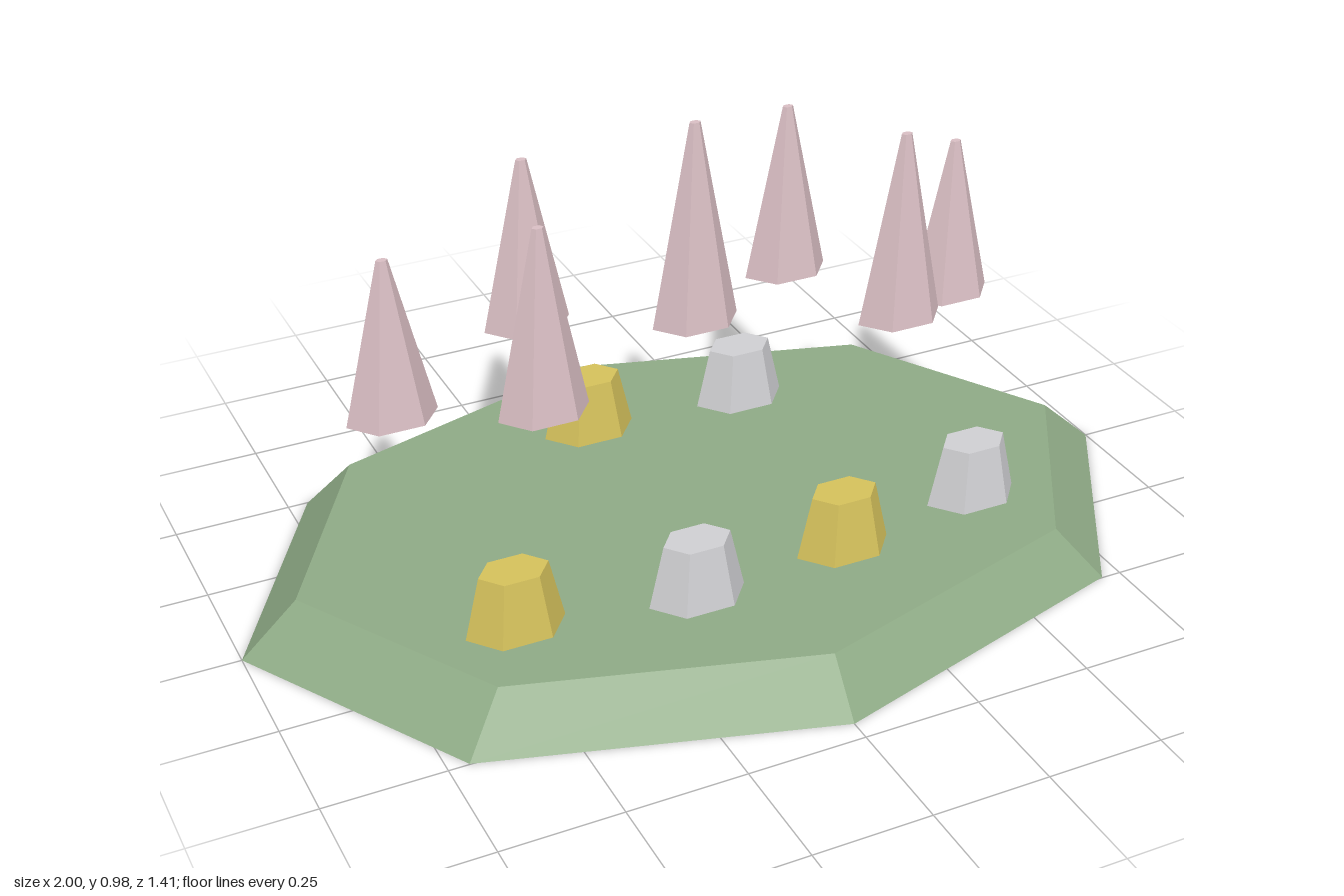
import * as THREE from 'three';

const DEPTH = 0.7; // everything is squashed front to back

function material(name, color) {
  const m = new THREE.MeshStandardMaterial({ color, flatShading: true });
  m.name = name;
  return m;
}

// Tapered prism standing on y, with its first corner on +x
function taper(name, mat, topR, bottomR, sides, x, z, y0, y1, depth = DEPTH) {
  const geo = new THREE.CylinderGeometry(topR, bottomR, y1 - y0, sides, 1, false, Math.PI / 2);
  geo.scale(1, 1, depth);
  const mesh = new THREE.Mesh(geo, mat);
  mesh.name = name;
  mesh.position.set(x, (y0 + y1) / 2, z);
  return mesh;
}

export function createModel() {
  const group = new THREE.Group();
  group.name = 'islandWithSpires';
  const green = material('mossGreen', 0x8fab86);
  const pink = material('palePink', 0xdabfc4);
  const gold = material('gold', 0xd6c25c);
  const silver = material('silver', 0xd0d0d3);

  // Octagonal base with sloping rim
  group.add(taper('base', green, 0.88, 1, 8, 0, 0, 0, 0.11, 0.705));

  // Floating spires: x, z, bottom, top
  const spires = [
    [0, 0, 0.535, 0.975],
    [-0.64, -0.045, 0.445, 0.793],
    [-0.395, 0.147, 0.497, 0.895],
    [-0.275, -0.237, 0.476, 0.852],
    [0.315, -0.207, 0.486, 0.87],
    [0.41, 0.12, 0.508, 0.92],
    [0.615, -0.022, 0.453, 0.808],
  ];
  spires.forEach(([x, z, y0, y1], i) =>
    group.add(taper(`spire${i + 1}`, pink, 0.012, 0.095, 6, x, z, y0, y1)));

  // Hexagonal stumps on the base, alternating colours: x, z
  const stumps = [
    [-0.52, 0.275], [-0.155, 0.332], [0.19, 0.303],
    [0.53, 0.247], [-0.093, -0.353], [0.272, -0.337],
  ];
  stumps.forEach(([x, z], i) =>
    group.add(taper(`stump${i + 1}`, i % 2 ? silver : gold, 0.073, 0.105, 6, x, z, 0.108, 0.245)));

  return group;
}
